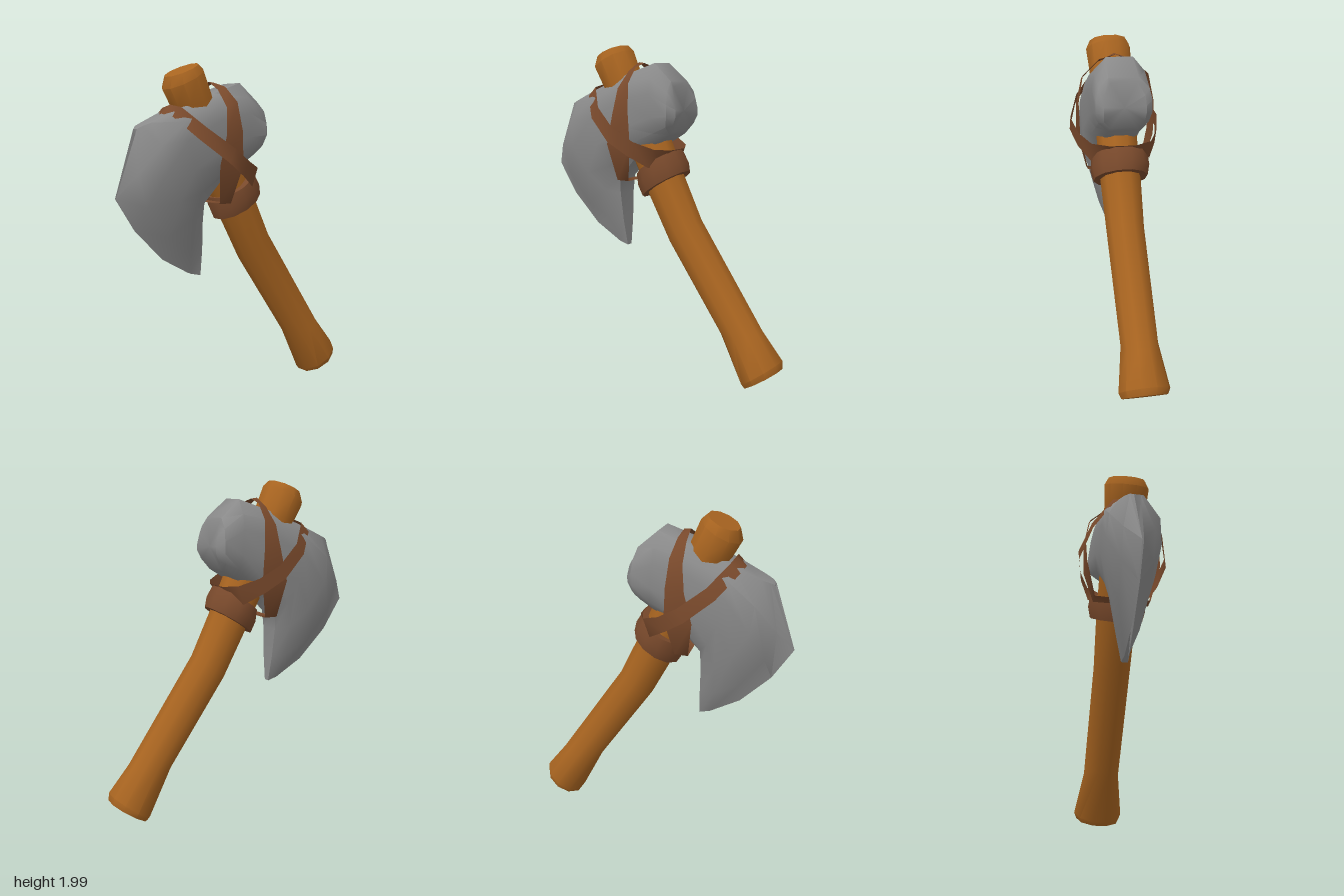
import * as THREE from 'three';
import { toCreasedNormals } from 'three/addons/utils/BufferGeometryUtils.js';

const stone = new THREE.MeshStandardMaterial({ color: 0x8a8a8a });
stone.name = 'stone grey';
const wood = new THREE.MeshStandardMaterial({ color: 0xa86420 });
wood.name = 'warm wood';
const leather = new THREE.MeshStandardMaterial({ color: 0x7a4a2c, side: THREE.DoubleSide });
leather.name = 'brown leather';

// Skin a row of closed rings of [x, y, z]; ends are capped unless the row loops.
function loft(rings, loop, crease) {
  const n = rings[0].length, pos = rings.flat(2), idx = [];
  const rows = loop ? rings.length : rings.length - 1;
  for (let i = 0; i < rows; i++) {
    const a = i * n, b = ((i + 1) % rings.length) * n;
    for (let j = 0; j < n; j++) {
      const k = (j + 1) % n;
      idx.push(a + j, a + k, b + j, a + k, b + k, b + j);
    }
  }
  if (!loop) {
    [0, rings.length - 1].forEach((r, end) => {
      const c = pos.length / 3;
      for (let d = 0; d < 3; d++) pos.push(rings[r].reduce((s, p) => s + p[d], 0) / n);
      for (let j = 0; j < n; j++) {
        const p = r * n + j, q = r * n + (j + 1) % n;
        idx.push(c, end ? p : q, end ? q : p);
      }
    });
  }
  // Turn the faces outward if the enclosed volume comes out negative.
  const v = (i) => new THREE.Vector3(pos[i * 3], pos[i * 3 + 1], pos[i * 3 + 2]);
  let volume = 0;
  for (let i = 0; i < idx.length; i += 3) volume += v(idx[i]).dot(v(idx[i + 1]).cross(v(idx[i + 2])));
  if (volume < 0) idx.reverse();
  const g = new THREE.BufferGeometry();
  g.setAttribute('position', new THREE.Float32BufferAttribute(pos, 3));
  g.setIndex(idx);
  return toCreasedNormals(g, crease);
}

// Oval ring across the line from (x1, y1) to (x2, y2), with half depth w.
function oval([x1, y1, x2, y2, w], sides = 10) {
  return Array.from({ length: sides }, (_, i) => {
    const t = ((i + 0.5) / sides) * Math.PI * 2, c = Math.cos(t) / Math.cos(Math.PI / sides);
    return [(x1 + x2) / 2 + (c * (x2 - x1)) / 2, (y1 + y2) / 2 + (c * (y2 - y1)) / 2, Math.sin(t) * w];
  });
}

// Closed flat band: edge pairs [x1, y1, x2, y2, z] for the front half, mirrored to the back.
function band(half) {
  const back = half.slice(1, -1).reverse().map(([a, b, c, d, z]) => [a, b, c, d, -z]);
  const all = [...half, ...back], pos = [], idx = [];
  all.forEach(([a, b, c, d, z], i) => {
    pos.push(a, b, z, c, d, z);
    const p = i * 2, q = ((i + 1) % all.length) * 2;
    idx.push(p, q, p + 1, p + 1, q, q + 1);
  });
  const g = new THREE.BufferGeometry();
  g.setAttribute('position', new THREE.Float32BufferAttribute(pos, 3));
  g.setIndex(idx);
  g.computeVertexNormals();
  return g;
}

export function createModel() {
  const model = new THREE.Group();
  model.name = 'stoneAxe';
  const add = (name, geometry, material) => {
    const mesh = new THREE.Mesh(geometry, material);
    mesh.name = name;
    model.add(mesh);
  };

  // Bent handle with flared, bevelled ends
  add('handle', loft([
    [0.59, 0.01, 0.8, 0.145, 0.135],
    [0.575, 0.03, 0.795, 0.19, 0.15],
    [0.43, 0.31, 0.67, 0.35, 0.11],
    [0.07, 0.83, 0.25, 0.97, 0.115],
    [-0.1, 1.15, 0.125, 1.23, 0.125],
    [-0.21, 1.36, 0.03, 1.45, 0.125],
    [-0.41, 1.75, -0.18, 1.82, 0.13],
    [-0.465, 1.85, -0.245, 1.97, 0.14],
    [-0.45, 1.92, -0.28, 2.0, 0.115],
  ].map((r) => oval(r)), false, 0.75), wood);

  // Stone head: front outline points per slice, poll to cutting edge
  const slices = [
    [[0.12, 1.76, 0.08], [0.15, 1.69, 0.12], [0.163, 1.63, 0.125], [0.163, 1.59, 0.125], [0.14, 1.54, 0.12], [0.12, 1.5, 0.08]],
    [[0.11, 1.79, 0.09], [0.12, 1.73, 0.15], [0.125, 1.66, 0.168], [0.125, 1.59, 0.168], [0.11, 1.53, 0.15], [0.1, 1.48, 0.09]],
    [[-0.01, 1.895, 0.08], [0, 1.81, 0.15], [0, 1.72, 0.168], [0.01, 1.58, 0.168], [0.02, 1.49, 0.15], [0.02, 1.43, 0.09]],
    [[-0.2, 1.83, 0.09], [-0.2, 1.77, 0.15], [-0.19, 1.68, 0.165], [-0.17, 1.52, 0.165], [-0.14, 1.42, 0.15], [-0.1, 1.38, 0.09]],
    [[-0.44, 1.735, 0.08], [-0.43, 1.67, 0.15], [-0.42, 1.57, 0.165], [-0.38, 1.4, 0.165], [-0.32, 1.27, 0.14], [-0.265, 1.2, 0.08]],
    [[-0.6, 1.665, 0.06], [-0.59, 1.54, 0.15], [-0.57, 1.38, 0.16], [-0.47, 1.22, 0.14], [-0.36, 1.12, 0.11], [-0.27, 1.1, 0.07]],
    [[-0.65, 1.645, 0.04], [-0.71, 1.38, 0.09], [-0.65, 1.2, 0.09], [-0.51, 1.02, 0.08], [-0.35, 0.93, 0.07], [-0.262, 0.92, 0.05]],
    [[-0.67, 1.63, 0.02], [-0.8, 1.25, 0.005], [-0.68, 1.06, 0.005], [-0.5, 0.88, 0.005], [-0.32, 0.78, 0.012], [-0.255, 0.765, 0.02]],
  ];
  const headRings = slices.map((s) => [...s, ...[...s].reverse().map(([x, y, z]) => [x, y, -z])]);
  add('axeHead', loft(headRings, false, 0.8), stone);

  // Thick collar wrapped round the handle below the head
  add('collar', loft([
    [-0.085, 1.105, 0.13, 1.245, 0.14],
    [-0.11, 1.09, 0.155, 1.26, 0.165],
    [-0.135, 1.15, 0.14, 1.32, 0.18],
    [-0.145, 1.22, 0.1, 1.385, 0.172],
    [-0.125, 1.23, 0.08, 1.375, 0.14],
  ].map((r) => oval(r, 12)), false, 0.75), leather);

  // Diagonal strap from the top of the blade down to the collar
  add('diagonalStrap', band([
    [-0.5, 1.715, -0.44, 1.765, 0],
    [-0.485, 1.695, -0.43, 1.75, 0.1],
    [-0.38, 1.57, -0.33, 1.635, 0.21],
    [-0.22, 1.44, -0.18, 1.52, 0.27],
    [-0.1, 1.36, -0.06, 1.445, 0.24],
    [0.01, 1.29, 0.05, 1.4, 0.18],
    [0.04, 1.31, 0.1, 1.39, 0.08],
    [0.05, 1.32, 0.105, 1.39, 0],
  ]), leather);

  // Upright strap over the top of the head and under the blade
  add('uprightStrap', band([
    [-0.175, 1.9, -0.135, 1.895, 0],
    [-0.18, 1.85, -0.13, 1.87, 0.1],
    [-0.19, 1.75, -0.115, 1.78, 0.2],
    [-0.21, 1.6, -0.1, 1.62, 0.23],
    [-0.255, 1.42, -0.09, 1.42, 0.225],
    [-0.22, 1.2, -0.14, 1.2, 0.17],
    [-0.21, 1.2, -0.14, 1.2, 0],
  ]), leather);

  return model;
}
